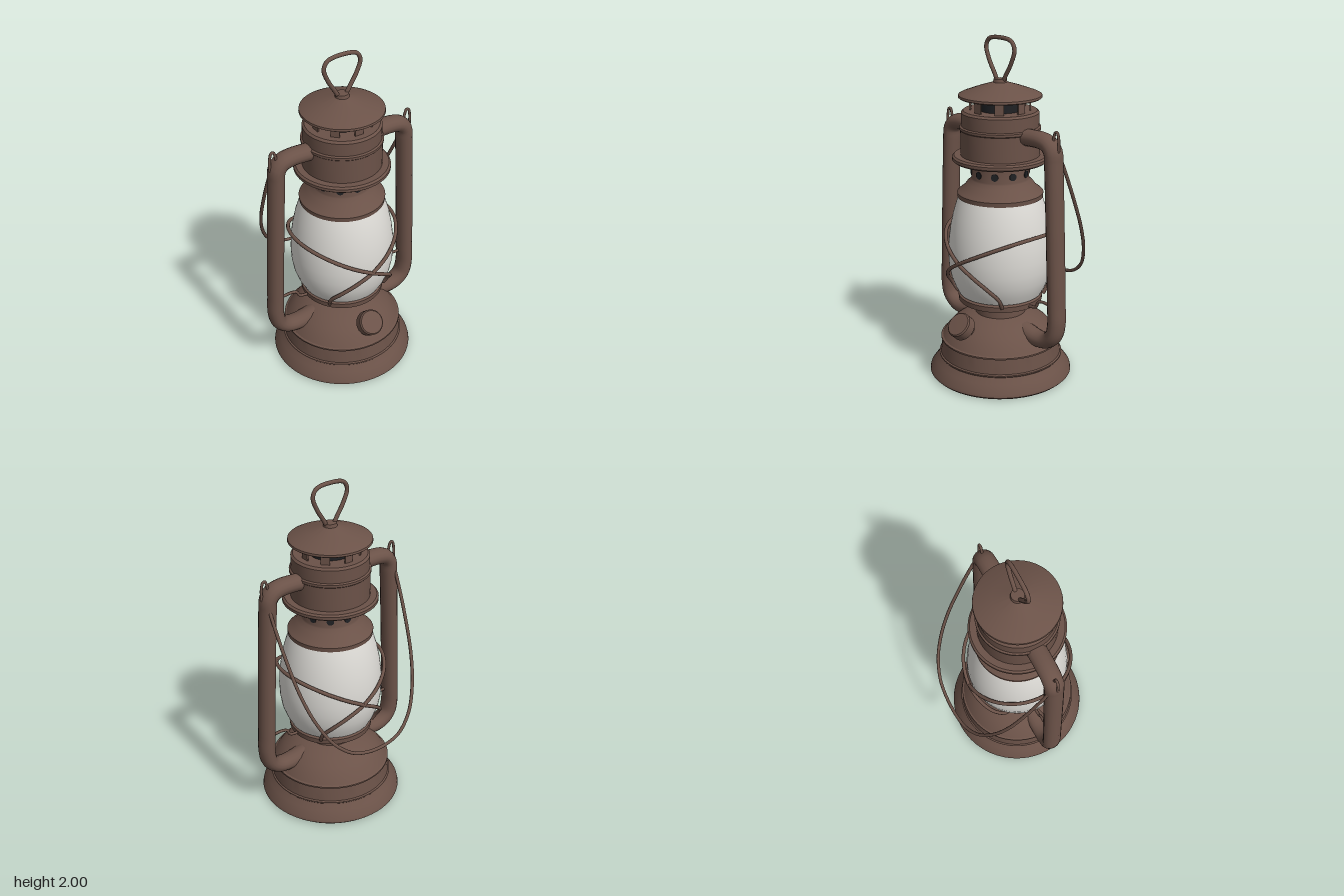
import * as THREE from 'three';
import { toCreasedNormals } from 'three/addons/utils/BufferGeometryUtils.js';

export function createModel() {
  const model = new THREE.Group();
  model.name = 'lantern';
  const body = new THREE.Group();
  body.name = 'lanternBody';
  body.position.z = 0.023; // the carrying bail reaches behind the base
  model.add(body);

  const material = (name, color) => {
    const m = new THREE.MeshStandardMaterial({ color, side: THREE.DoubleSide });
    m.name = name;
    return m;
  };
  const brown = material('brown metal', 0x6b5248);
  const white = material('frosted glass', 0xdcdad5);
  const dark = material('dark openings', 0x202124);

  const add = (name, geometry, mat = brown, parent = body) => {
    const mesh = new THREE.Mesh(geometry, mat);
    mesh.name = name;
    parent.add(mesh);
    return mesh;
  };
  const lathe = (name, profile, mat = brown) => {
    const pts = profile.map(([r, y]) => new THREE.Vector2(r, y));
    return add(name, toCreasedNormals(new THREE.LatheGeometry(pts, 64), 0.55), mat);
  };
  const tube = (name, pts, radius, closed = false, sides = 10, segments = 72) => {
    const curve = new THREE.CatmullRomCurve3(pts.map(p => new THREE.Vector3(...p)), closed, 'centripetal');
    return add(name, new THREE.TubeGeometry(curve, segments, radius, sides, closed));
  };

  // Fuel tank with flared foot, two beads and a domed top
  lathe('fuelTank', [
    [0, 0.005], [0.41, 0], [0.422, 0.012], [0.418, 0.03], [0.385, 0.075], [0.362, 0.11],
    [0.366, 0.115], [0.366, 0.122], [0.357, 0.127], [0.346, 0.212], [0.354, 0.216],
    [0.354, 0.225], [0.343, 0.23], [0.318, 0.268], [0.28, 0.31], [0.235, 0.343],
    [0.19, 0.367], [0.148, 0.38], [0.145, 0.46],
  ]);
  lathe('burnerPlate', [[0, 0.46], [0.245, 0.46], [0.248, 0.492], [0.235, 0.5], [0, 0.5]]);

  // Glass globe
  lathe('globe', [
    [0.215, 0.495], [0.243, 0.505], [0.266, 0.55], [0.288, 0.61], [0.3, 0.68], [0.303, 0.75],
    [0.299, 0.83], [0.288, 0.91], [0.271, 0.99], [0.25, 1.06], [0.235, 1.1],
  ], white);

  // Collar, flange and chimney
  lathe('globeCollar', [
    [0.225, 1.085], [0.245, 1.088], [0.247, 1.113], [0.238, 1.122], [0.208, 1.145],
    [0.19, 1.17], [0.168, 1.19], [0.165, 1.2], [0.165, 1.3],
  ]);
  lathe('chimney', [
    [0.16, 1.3], [0.262, 1.296], [0.273, 1.305], [0.273, 1.322], [0.262, 1.332], [0.225, 1.332],
    [0.225, 1.475], [0.23, 1.48], [0.23, 1.494], [0.22, 1.5], [0.22, 1.575], [0.208, 1.587], [0, 1.587],
  ]);

  // Ten round air holes in the collar
  for (let i = 0; i < 10; i++) {
    const a = i * Math.PI / 5;
    const hole = add('airHole', new THREE.CylinderGeometry(0.021, 0.021, 0.008, 16).rotateX(Math.PI / 2), dark);
    hole.position.set(0.164 * Math.sin(a), 1.235, 0.164 * Math.cos(a));
    hole.rotation.y = a;
  }

  // Dark vent core with eight plate posts around it
  add('ventCore', new THREE.CylinderGeometry(0.118, 0.118, 0.08, 32), dark).position.y = 1.625;
  for (let i = 0; i < 8; i++) {
    const a = i * Math.PI / 4;
    const post = add('ventPost', new THREE.BoxGeometry(0.05, 0.08, 0.009));
    post.position.set(0.167 * Math.sin(a), 1.625, 0.167 * Math.cos(a));
    post.rotation.y = a;
  }
  lathe('lid', [
    [0, 1.66], [0.228, 1.656], [0.236, 1.662], [0.234, 1.674], [0.215, 1.684],
    [0.13, 1.715], [0.04, 1.743], [0.036, 1.762], [0, 1.764],
  ]);

  // Top hanging loop
  tube('hangingLoop', [
    [-0.025, 1.75, 0], [-0.045, 1.785, 0], [-0.09, 1.86, 0], [-0.113, 1.93, 0], [-0.09, 1.973, 0], [0, 1.988, 0],
    [0.09, 1.973, 0], [0.113, 1.93, 0], [0.09, 1.86, 0], [0.045, 1.785, 0], [0.025, 1.75, 0],
  ], 0.012);

  for (const s of [1, -1]) {
    // Side air tubes, slightly wider front to back
    const side = s > 0 ? 'left' : 'right';
    tube(side + 'AirTube', [
      [0.19, 1.465, 0], [0.33, 1.467, 0], [0.385, 1.452, 0], [0.414, 1.415, 0], [0.42, 1.35, 0],
      [0.44, 0.95, 0], [0.457, 0.55, 0], [0.46, 0.43, 0], [0.442, 0.355, 0], [0.395, 0.312, 0],
      [0.33, 0.297, 0], [0.2, 0.315, 0],
    ].map(([x, y, z]) => [s * x, y, z]), 0.047, false, 16).scale.z = 1.22;

    // Ears that carry the bail
    tube(side + 'Ear', [
      [0.455, 1.42, 0], [0.454, 1.49, 0], [0.443, 1.528, 0], [0.43, 1.53, 0], [0.418, 1.5, 0], [0.41, 1.44, 0],
    ].map(([x, y, z]) => [s * x, y, z]), 0.008, false, 8, 24);

    // Small bracing wires beside the burner plate
    tube(side + 'Brace', [
      [0.44, 0.545, 0], [0.41, 0.53, 0], [0.35, 0.53, 0], [0.315, 0.518, 0], [0.295, 0.485, 0], [0.23, 0.472, 0],
    ].map(([x, y, z]) => [s * x, y, z]), 0.009, false, 8, 32);

    // Guard wires crossing in front of and behind the globe
    const half = [
      [0.19, 0.49, 0.165], [0.2, 0.55, 0.2], [0.17, 0.62, 0.26], [0.1, 0.685, 0.305], [0, 0.747, 0.324],
      [-0.12, 0.812, 0.297], [-0.22, 0.865, 0.228], [-0.29, 0.9, 0.12],
    ];
    const back = half.map(([x, y, z]) => [x, y, -z]).reverse();
    tube(side + 'GuardWire', [...half, [-0.312, 0.91, 0], ...back].map(([x, y, z]) => [s * x, y, z]), 0.011, false, 8, 96);
  }

  // Carrying bail swung down behind, lying in one sloping plane
  const bailHalf = [
    [0.433, 0], [0.432, -0.07], [0.42, -0.16], [0.393, -0.26], [0.345, -0.34],
    [0.27, -0.405], [0.17, -0.445], [0.08, -0.458],
  ];
  const slope = ([x, z]) => [x, 1.455 + 2.02 * z, z];
  tube('carryingBail', [
    ...bailHalf.map(slope), slope([0, -0.461]), ...bailHalf.map(([x, z]) => slope([-x, z])).reverse(),
  ], 0.01, false, 8, 96);

  // Tilted filler neck and cap
  const filler = new THREE.Group();
  filler.name = 'filler';
  filler.position.set(0, 0.36, 0.308);
  filler.rotation.x = 0.82;
  body.add(filler);
  add('fillerNeck', new THREE.CylinderGeometry(0.045, 0.05, 0.12, 24), brown, filler).position.y = -0.075;
  const cap = [[0, -0.032], [0.07, -0.032], [0.075, -0.026], [0.075, 0.026], [0.068, 0.034], [0, 0.036]]
    .map(([r, y]) => new THREE.Vector2(r, y));
  add('fillerCap', toCreasedNormals(new THREE.LatheGeometry(cap, 28), 0.5), brown, filler);

  return model;
}
